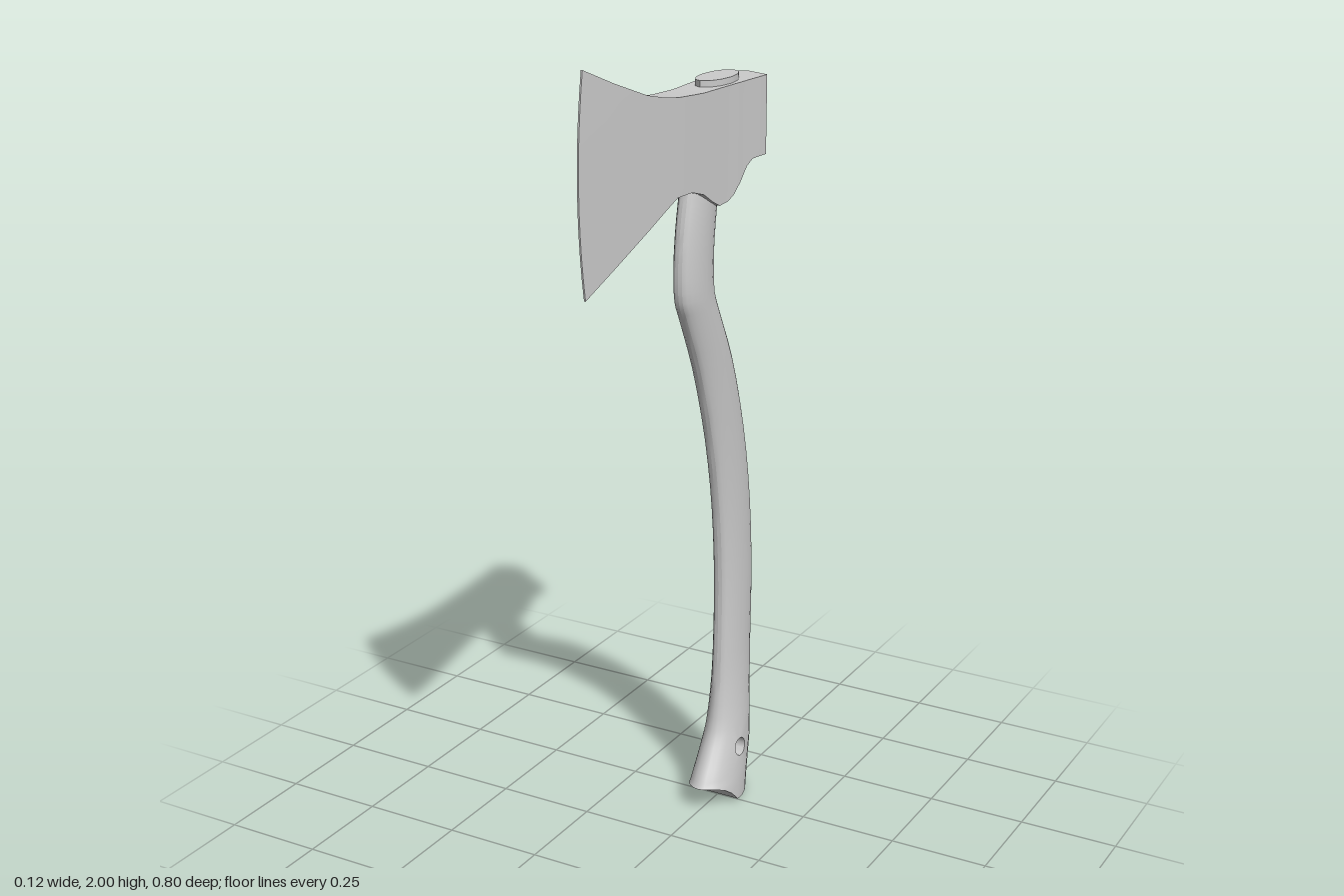
import * as THREE from 'three';
import { toCreasedNormals } from 'three/addons/utils/BufferGeometryUtils.js';

const material = new THREE.MeshStandardMaterial({ color: 0xcccccc });

// Collects quads (corners counter-clockwise from outside) into a creased mesh.
function surface(name, crease, build) {
  const pos = [];
  const tri = (a, b, c) => {
    if (a.distanceTo(b) < 1e-6 || b.distanceTo(c) < 1e-6 || c.distanceTo(a) < 1e-6) return;
    for (const p of [a, b, c]) pos.push(p.x, p.y, p.z);
  };
  build((a, b, c, d) => { tri(a, b, c); tri(a, c, d); });
  const geo = new THREE.BufferGeometry();
  geo.setAttribute('position', new THREE.Float32BufferAttribute(pos, 3));
  const mesh = new THREE.Mesh(toCreasedNormals(geo, crease), material);
  mesh.name = name;
  return mesh;
}

// Axe head: stations from poll to cutting edge, each [z, top, bottom, half width].
const HEAD = [
  [-0.378, 1.88, 1.69, 0], [-0.356, 1.88, 1.69, 0.06], [-0.295, 1.88, 1.69, 0.056],
  [-0.27, 1.88, 1.677, 0.054], [-0.24, 1.88, 1.643, 0.052], [-0.21, 1.88, 1.618, 0.05],
  [-0.185, 1.88, 1.608, 0.048], [-0.15, 1.88, 1.605, 0.046], [-0.12, 1.88, 1.62, 0.044],
  [-0.08, 1.88, 1.645, 0.042], [-0.03, 1.883, 1.66, 0.039], [0.03, 1.887, 1.66, 0.035],
  [0.08, 1.895, 1.638, 0.031], [0.15, 1.911, 1.605, 0.025], [0.27, 1.955, 1.55, 0.0135],
  [0.38, 2, 1.5, 0.002],
];

function makeHead() {
  const rows = 10;
  // the cutting edge bows forward in a shallow arc
  const point = ([z, top, bottom, w], j, side) => {
    const s = (2 * j) / rows - 1;
    const bow = z > 0 ? 0.022 * (z / 0.38) ** 4 * (1 - s * s) : 0;
    return new THREE.Vector3(side * w, bottom + ((top - bottom) * j) / rows, z + bow);
  };
  return surface('axeHead', 0.6, (quad) => {
    for (let k = 0; k < HEAD.length - 1; k++) {
      const a = HEAD[k], b = HEAD[k + 1];
      const at = (st, j, side) => point(st, j, side);
      for (let j = 0; j < rows; j++) {
        quad(at(b, j, 1), at(a, j, 1), at(a, j + 1, 1), at(b, j + 1, 1));
        quad(at(a, j, -1), at(b, j, -1), at(b, j + 1, -1), at(a, j + 1, -1));
      }
      quad(at(a, rows, -1), at(b, rows, -1), at(b, rows, 1), at(a, rows, 1));
      quad(at(a, 0, 1), at(b, 0, 1), at(b, 0, -1), at(a, 0, -1));
    }
    const edge = HEAD[HEAD.length - 1];
    for (let j = 0; j < rows; j++) {
      quad(point(edge, j, -1), point(edge, j, 1), point(edge, j + 1, 1), point(edge, j + 1, -1));
    }
  });
}

// Handle sections from the butt up: [front z, front y, back z, back y, half width].
const HANDLE = [
  [-0.14, 0.065, -0.355, 0, 0.061], [-0.155, 0.09, -0.375, 0.09, 0.056],
  [-0.186, 0.14, -0.385, 0.14, 0.052], [-0.217, 0.2, -0.388, 0.2, 0.047],
  [-0.235, 0.3, -0.393, 0.3, 0.04], [-0.241, 0.4, -0.398, 0.4, 0.036],
  [-0.244, 0.6, -0.402, 0.6, 0.035], [-0.229, 0.8, -0.387, 0.8, 0.035],
  [-0.19, 1, -0.349, 1, 0.035], [-0.125, 1.2, -0.283, 1.2, 0.035],
  [-0.06, 1.34, -0.212, 1.34, 0.035], [-0.037, 1.39, -0.19, 1.39, 0.035],
  [-0.033, 1.47, -0.184, 1.47, 0.035], [-0.042, 1.56, -0.192, 1.56, 0.035],
  [-0.058, 1.64, -0.208, 1.64, 0.035], [-0.07, 1.7, -0.22, 1.7, 0.034],
];
const SUB = 3, N = 24;

function makeHandle() {
  const V = THREE.Vector3;
  const front = new THREE.CatmullRomCurve3(HANDLE.map((s) => new V(s[4], s[1], s[0])));
  const back = new THREE.CatmullRomCurve3(HANDLE.map((s) => new V(s[4], s[3], s[2])));
  const count = (HANDLE.length - 1) * SUB;
  const grid = [];
  for (let j = 0; j <= count; j++) {
    const f = front.getPoint(j / count), b = back.getPoint(j / count);
    grid.push(Array.from({ length: N }, (_, i) => {
      const a = (i / N) * Math.PI * 2;
      const p = b.clone().lerp(f, (1 + Math.cos(a)) / 2);
      p.x = f.x * Math.sin(a);
      // hooked underside of the butt
      if (j === 0) p.y = Math.max(0, 0.065 * (1 - ((-0.14 - p.z) / 0.11) ** 2));
      return p;
    }));
  }
  const P = (i, j) => grid[j][i % N];

  // lanyard hole: a block of the side grid is replaced by a ring around a circle
  const j0 = SUB, j1 = 3 * SUB, hz = -0.277, hy = 0.14, hr = 0.024;
  const inBlock = (i, j) => j >= j0 && j < j1 && ((i >= 4 && i < 8) || (i >= 16 && i < 20));
  const rim = (p, side) => {
    const a = Math.atan2(p.y - hy, p.z - hz);
    const y = hy + hr * Math.sin(a), z = hz + hr * Math.cos(a);
    const lo = HANDLE[y < 0.14 ? 1 : 2], hi = HANDLE[y < 0.14 ? 2 : 3];
    const s = (y - lo[1]) / (hi[1] - lo[1]);
    const [f, b, w] = [0, 2, 4].map((k) => THREE.MathUtils.lerp(lo[k], hi[k], s));
    const c = (2 * z - f - b) / (f - b);
    return new V(side * w * Math.sqrt(1 - c * c), y, z);
  };
  const blockLoop = (i0) => {
    const loop = [], i1 = i0 + 4;
    for (let i = i0; i < i1; i++) loop.push(P(i, j0));
    for (let j = j0; j < j1; j++) loop.push(P(i1, j));
    for (let i = i1; i > i0; i--) loop.push(P(i, j1));
    for (let j = j1; j > j0; j--) loop.push(P(i0, j));
    return loop;
  };

  return surface('handle', 0.7, (quad) => {
    for (let j = 0; j < count; j++) {
      for (let i = 0; i < N; i++) {
        if (!inBlock(i, j)) quad(P(i, j), P(i + 1, j), P(i + 1, j + 1), P(i, j + 1));
      }
    }
    for (const [i0, side] of [[4, 1], [16, -1]]) {
      const loop = blockLoop(i0);
      loop.forEach((p, k) => {
        const q = loop[(k + 1) % loop.length];
        const c = rim(p, side), d = rim(q, side);
        quad(p, q, d, c);
        // wall of the hole
        if (side > 0) quad(c, d, rim(q, -1), rim(p, -1));
      });
    }
    // butt and hidden upper end
    for (let i = 0; i < N / 2; i++) {
      quad(P(N - i, 0), P(N - i - 1, 0), P(i + 1, 0), P(i, 0));
      quad(P(i, count), P(i + 1, count), P(N - i - 1, count), P(N - i, count));
    }
  });
}

// End of the handle showing through the top of the head.
function makeHandleTop() {
  const geo = new THREE.CylinderGeometry(1, 1, 0.06, 12).scale(0.039, 1, 0.082);
  const mesh = new THREE.Mesh(toCreasedNormals(geo.toNonIndexed(), 0.7), material);
  mesh.name = 'handleTop';
  mesh.position.set(0, 1.865, -0.218);
  return mesh;
}

export function createModel() {
  const axe = new THREE.Group();
  axe.name = 'axe';
  axe.add(makeHead(), makeHandle(), makeHandleTop());
  return axe;
}
